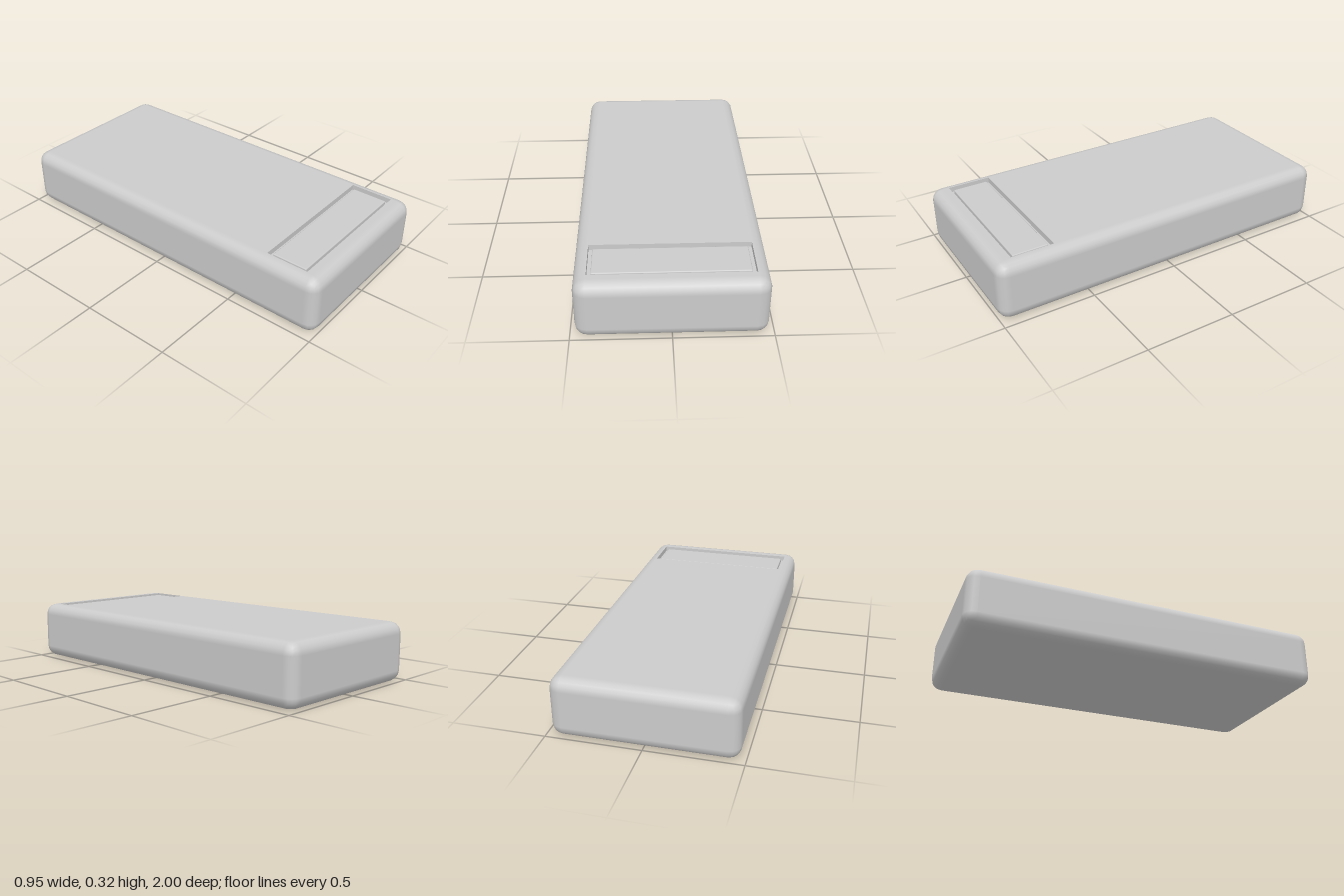
import * as THREE from 'three';
import { RoundedBoxGeometry } from 'three/addons/geometries/RoundedBoxGeometry.js';

const W = 0.95, H = 0.325, L = 2, R = 0.064;
const SLOT = { x: 0.41, z0: 0.67, z1: 0.905, depth: 0.03 };

// Rectangular outline in x / z; the second coordinate is negated so the shape can be laid flat
function rectPath(Type, x, z0, z1) {
  const p = new Type();
  p.moveTo(-x, -z1).lineTo(x, -z1).lineTo(x, -z0).lineTo(-x, -z0).closePath();
  return p;
}

// Rounded box without its flat upper panel
function openShell() {
  const g = new RoundedBoxGeometry(W, H, L, 2, R).toNonIndexed();
  const pos = g.attributes.position, nor = g.attributes.normal;
  const p = [], n = [];
  for (let i = 0; i < pos.count; i += 3) {
    if ([0, 1, 2].every(k => pos.getY(i + k) > H / 2 - 1e-4)) continue;
    for (let k = i; k < i + 3; k++) {
      p.push(pos.getX(k), pos.getY(k) + H / 2, pos.getZ(k));
      n.push(nor.getX(k), nor.getY(k), nor.getZ(k));
    }
  }
  const out = new THREE.BufferGeometry();
  out.setAttribute('position', new THREE.Float32BufferAttribute(p, 3));
  out.setAttribute('normal', new THREE.Float32BufferAttribute(n, 3));
  return out;
}

export function createModel() {
  const group = new THREE.Group();
  const grey = new THREE.MeshStandardMaterial({ color: 0xcccccc });
  const twoSided = new THREE.MeshStandardMaterial({ color: 0xcccccc, side: THREE.DoubleSide });
  const add = (name, geometry, material = grey) => {
    const mesh = new THREE.Mesh(geometry, material);
    mesh.name = name;
    group.add(mesh);
    return mesh;
  };

  add('bodyShell', openShell());

  // Upper panel with the slot cut out
  const panel = rectPath(THREE.Shape, W / 2 - R, -L / 2 + R, L / 2 - R);
  panel.holes.push(rectPath(THREE.Path, SLOT.x - 0.002, SLOT.z0, SLOT.z1));
  add('topPanel', new THREE.ShapeGeometry(panel).rotateX(-Math.PI / 2).translate(0, H, 0));

  // Slot floor and its four walls
  const sx = SLOT.x - 0.002, len = SLOT.z1 - SLOT.z0, mid = (SLOT.z0 + SLOT.z1) / 2;
  const wallY = H - SLOT.depth / 2;
  add('slotFloor', new THREE.PlaneGeometry(2 * sx, len).rotateX(-Math.PI / 2)
    .translate(0, H - SLOT.depth, mid));
  for (const s of [-1, 1]) {
    add('slotSideWall', new THREE.PlaneGeometry(len, SLOT.depth).rotateY(Math.PI / 2)
      .translate(s * sx, wallY, mid), twoSided);
    add('slotEndWall', new THREE.PlaneGeometry(2 * sx, SLOT.depth)
      .translate(0, wallY, mid + s * len / 2), twoSided);
  }

  // Key sitting in the slot, with a softened rim
  const keyLen = 0.195, keyHeight = 0.03;
  add('key', new RoundedBoxGeometry(0.775, keyHeight, keyLen, 2, 0.006)
    .translate(0, H - 0.008 - keyHeight / 2, mid));

  return group;
}
